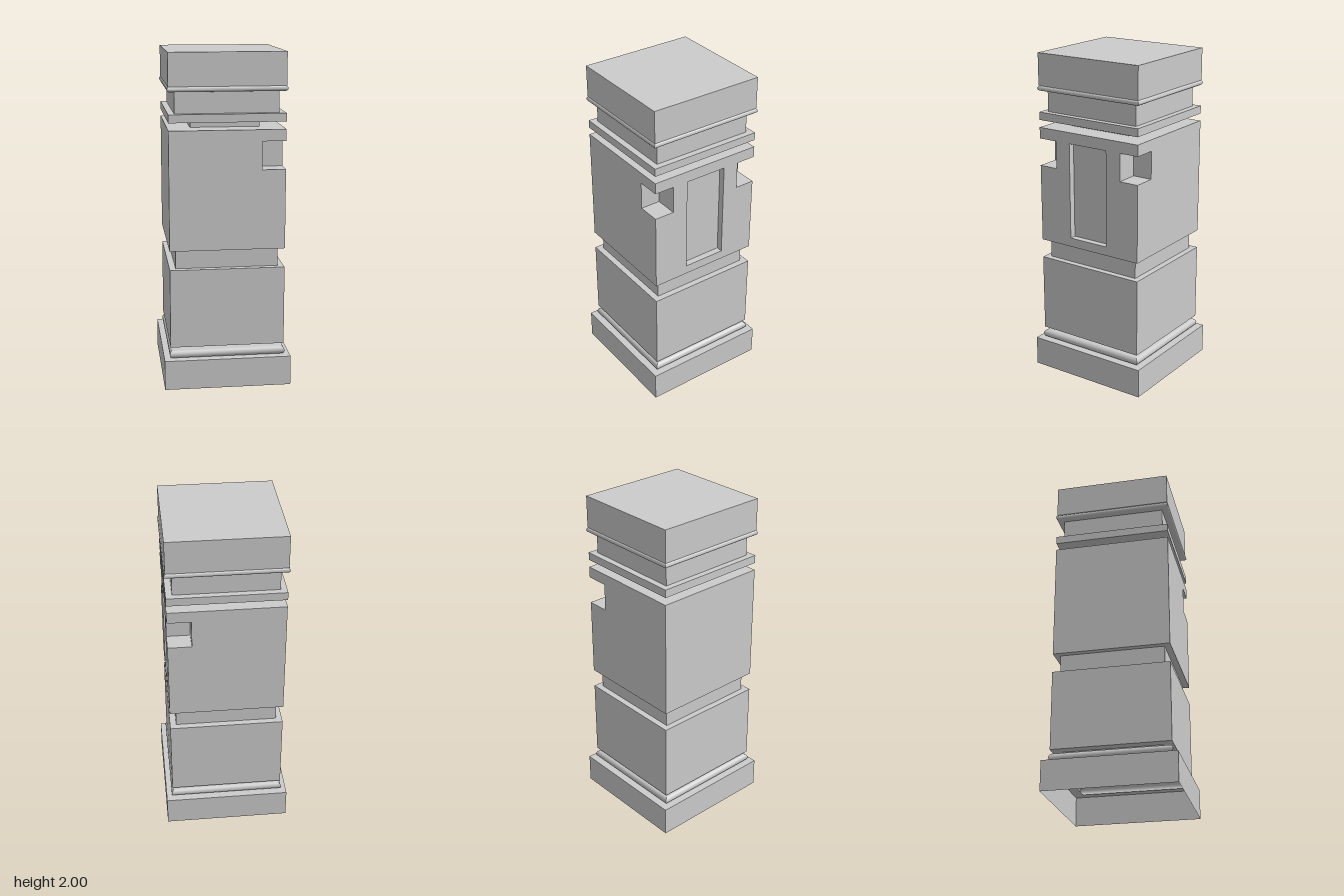
import * as THREE from 'three';
import { toCreasedNormals } from 'three/addons/utils/BufferGeometryUtils.js';

const DEPTH = 1.025; // plan is slightly deeper (z) than wide (x)
const W = 0.342, D = W * DEPTH; // half sizes of the main blocks
const mat = new THREE.MeshStandardMaterial({ color: 0xcccccc, side: THREE.DoubleSide });

function add(group, name, geometry) {
  const mesh = new THREE.Mesh(geometry, mat);
  mesh.name = name;
  group.add(mesh);
  return mesh;
}

// Sweep a profile of [half width, y] points round a rectangular plan
function sweep(profile) {
  const corners = [[1, 1], [1, -1], [-1, -1], [-1, 1]];
  const at = ([w, y], [sx, sz]) => [sx * w, y, sz * w * DEPTH];
  const pos = [];
  for (let i = 0; i < profile.length - 1; i++) {
    for (let k = 0; k < 4; k++) {
      const c = corners[k], n = corners[(k + 1) % 4];
      const a = at(profile[i], c), b = at(profile[i], n);
      const d = at(profile[i + 1], c), e = at(profile[i + 1], n);
      pos.push(...a, ...b, ...e, ...a, ...e, ...d);
    }
  }
  const g = new THREE.BufferGeometry();
  g.setAttribute('position', new THREE.Float32BufferAttribute(pos, 3));
  return toCreasedNormals(g, 0.6);
}

// Half-round moulding profile
function bead(w, y0, y1) {
  const r = (y1 - y0) / 2, pts = [];
  for (let i = 0; i <= 8; i++) {
    const a = -Math.PI / 2 + (Math.PI * i) / 8;
    pts.push([w - r + r * Math.cos(a), y0 + r + r * Math.sin(a)]);
  }
  return pts;
}

// Box seen from inside, with only the listed faces (0..5 = +x -x +y -y +z -z)
function recess(x0, x1, y0, y1, z0, z1, faces) {
  const g = new THREE.BoxGeometry(x1 - x0, y1 - y0, z1 - z0);
  const index = Array.from(g.index.array);
  g.setIndex(faces.flatMap((f) => index.slice(f * 6, f * 6 + 6)));
  g.clearGroups();
  g.translate((x0 + x1) / 2, (y0 + y1) / 2, (z0 + z1) / 2);
  return g;
}

const outline = (pts) => new THREE.Shape(pts.map(([x, y]) => new THREE.Vector2(x, y)));

export function createModel() {
  const root = new THREE.Group();
  root.name = 'pillar';

  // Hollow shell, open underneath, built in stacked sections
  const sections = {
    plinth: [[0.38, 0], [0.38, 0.18], [0.323, 0.18]],
    lowerBead: bead(0.348, 0.18, 0.232),
    lowerNeck: [[0.322, 0.232], [0.282, 0.232], [0.282, 0.252], [W, 0.252]],
    lowerBlock: [[W, 0.252], [W, 0.73], [0.305, 0.73]],
    middleNeck: [[0.305, 0.73], [0.305, 0.845], [W, 0.845]],
    upperNeck: [[W, 1.555], [0.205, 1.555], [0.205, 1.6], [W, 1.6]],
    slab: [[W, 1.6], [W, 1.648], [0.305, 1.648]],
    frieze: [[0.305, 1.648], [0.305, 1.775], [0.333, 1.775]],
    upperBead: bead(0.348, 1.775, 1.806),
    cap: [[0.332, 1.806], [W, 1.806], [W, 2]],
  };
  for (const [name, profile] of Object.entries(sections)) add(root, name, sweep(profile));

  const top = add(root, 'capTop', new THREE.PlaneGeometry(2 * W, 2 * D));
  top.rotation.x = -Math.PI / 2;
  top.position.y = 2;

  // Upper block: four walls, with notched corners and a sunk panel on the left side
  const block = new THREE.Group();
  block.name = 'upperBlock';
  root.add(block);
  const y0 = 0.845, y1 = 1.555, n0 = 1.32, n1 = 1.487; // block and notch heights
  const nx = 0.202, nz = 0.229; // inner edges of the notches
  const pz = 0.131, p0 = 0.9, pd = 0.04; // panel half width, bottom, depth

  for (const s of [1, -1]) {
    const wall = add(block, s > 0 ? 'frontWall' : 'backWall', new THREE.ShapeGeometry(outline([
      [-W, y0], [W, y0], [W, n0], [nx, n0], [nx, n1], [W, n1], [W, y1], [-W, y1],
    ])));
    wall.position.z = s * D;
    const [za, zb] = s > 0 ? [nz, D] : [-D, -nz];
    add(block, s > 0 ? 'frontNotch' : 'backNotch',
      recess(nx, W, n0, n1, za, zb, [1, 2, 3, s > 0 ? 5 : 4]));
  }

  const side = outline([
    [-D, y0], [D, y0], [D, n0], [nz, n0], [nz, n1], [D, n1],
    [D, y1], [-D, y1], [-D, n1], [-nz, n1], [-nz, n0], [-D, n0],
  ]);
  side.holes.push(outline([[-pz, p0], [-pz, n1], [pz, n1], [pz, p0]]));
  const leftWall = add(block, 'leftWall', new THREE.ShapeGeometry(side));
  leftWall.rotation.y = Math.PI / 2;
  leftWall.position.x = W;
  add(block, 'sunkPanel', recess(W - pd, W, p0, n1, -pz, pz, [1, 2, 3, 4, 5]));

  const rightWall = add(block, 'rightWall', new THREE.PlaneGeometry(2 * D, y1 - y0));
  rightWall.rotation.y = -Math.PI / 2;
  rightWall.position.set(-W, (y0 + y1) / 2, 0);

  return root;
}
